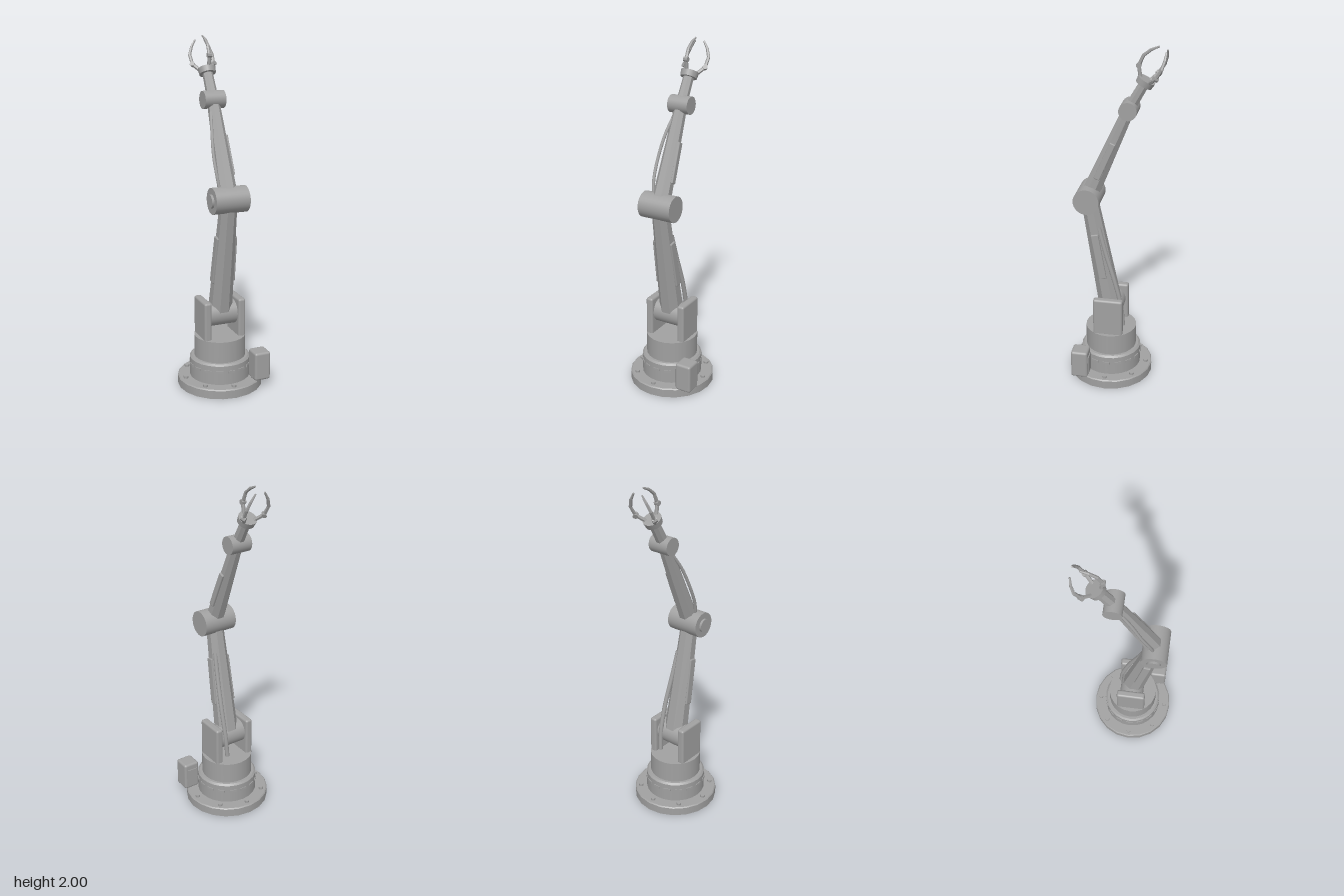
import * as THREE from 'three';
import { RoundedBoxGeometry } from 'three/addons/geometries/RoundedBoxGeometry.js';

export function createModel() {
  const root = new THREE.Group();
  const grey = new THREE.MeshStandardMaterial({ color: 0xa0a0a0 });
  grey.name = 'grey metal';
  const facetGrey = grey.clone();
  facetGrey.flatShading = true;

  const add = (parent, name, geo, x = 0, y = 0, z = 0, mat = grey) => {
    const m = new THREE.Mesh(geo, mat);
    m.name = name;
    m.position.set(x, y, z);
    parent.add(m);
    return m;
  };

  // Horizontal joint drum along x
  const drum = (name, r, x0, x1, y, z, sides = 32) => {
    const m = add(root, name, new THREE.CylinderGeometry(r, r, x1 - x0, sides), (x0 + x1) / 2, y, z);
    m.rotation.z = Math.PI / 2;
    return m;
  };

  // Local frame whose y axis runs from a to b, both given as [y, z] on x = 0
  const frame = (name, a, b) => {
    const g = new THREE.Group();
    g.name = name;
    g.position.set(0, a[0], a[1]);
    g.rotation.x = Math.atan2(b[1] - a[1], b[0] - a[0]);
    g.userData.len = Math.hypot(b[0] - a[0], b[1] - a[1]);
    root.add(g);
    return g;
  };

  // Tapered octagonal beam; r0 and r1 are half widths across flats
  const beam = (parent, name, r0, r1) => {
    const k = Math.cos(Math.PI / 8), len = parent.userData.len;
    const geo = new THREE.CylinderGeometry(r1 / k, r0 / k, len, 8).rotateY(Math.PI / 8);
    return add(parent, name, geo, 0, len / 2, 0, facetGrey);
  };

  const hose = (name, pts, r) => add(root, name, new THREE.TubeGeometry(
    new THREE.CatmullRomCurve3(pts.map(p => new THREE.Vector3(...p))), 24, r, 8), 0, 0, 0);

  // Stepped round base
  const base = new THREE.Group();
  base.name = 'base';
  base.position.z = 0.03;
  root.add(base);
  add(base, 'baseDisc', new THREE.CylinderGeometry(0.248, 0.248, 0.048, 20), 0, 0.024, 0);
  add(base, 'baseDiscBevel', new THREE.CylinderGeometry(0.242, 0.248, 0.006, 20), 0, 0.051, 0);
  add(base, 'lowerDrum', new THREE.CylinderGeometry(0.176, 0.176, 0.112, 24), 0, 0.11, 0);
  add(base, 'lowerDrumBevel', new THREE.CylinderGeometry(0.165, 0.176, 0.01, 24), 0, 0.171, 0);
  add(base, 'turntable', new THREE.CylinderGeometry(0.15, 0.15, 0.13, 24), 0, 0.237, 0);
  for (let i = 0; i < 8; i++) {
    const a = i * Math.PI / 4;
    add(base, 'bolt', new THREE.CylinderGeometry(0.014, 0.014, 0.014, 6),
      0.213 * Math.sin(a), 0.06, 0.213 * Math.cos(a), facetGrey);
  }
  for (let i = 0; i < 16; i++) {
    const a = i * Math.PI / 8;
    const tab = add(base, 'drumTab', new THREE.BoxGeometry(0.042, 0.014, 0.008),
      0.175 * Math.sin(a), 0.13, 0.175 * Math.cos(a));
    tab.rotation.y = a;
  }

  // Motor box on the base edge
  add(root, 'motorBox', new RoundedBoxGeometry(0.098, 0.17, 0.1, 2, 0.014), 0.188, 0.138, 0.18);
  add(root, 'motorBoxBack', new THREE.BoxGeometry(0.066, 0.11, 0.02), 0.188, 0.13, 0.135);

  // Shoulder brackets and drum
  for (const s of [-1, 1]) {
    add(root, 'shoulderBracket', new RoundedBoxGeometry(0.044, 0.235, 0.174, 2, 0.013), s * 0.105, 0.408, 0.03);
  }
  drum('shoulderDrum', 0.072, -0.09, 0.09, 0.432, 0.03);

  // Lower arm with side panels
  const shoulder = [0.43, 0.03], elbow = [1.13, 0.157], wrist = [1.655, -0.07], palm = [1.81, -0.157];
  const lower = frame('lowerArm', shoulder, elbow);
  beam(lower, 'lowerArmBeam', 0.065, 0.045);
  for (const s of [-1, 1]) {
    const p = add(lower, 'lowerArmPanel', new RoundedBoxGeometry(0.02, 0.28, 0.045, 1, 0.005), s * 0.056, 0.35, 0);
    p.rotation.z = s * 0.028;
  }
  hose('lowerHose', [[0.05, 0.33, -0.05], [0.055, 0.45, -0.04], [0.055, 0.62, 0.0],
    [0.045, 0.8, 0.055], [0.035, 0.95, 0.095]], 0.013);

  // Elbow drum with its end cap
  drum('elbowDrum', 0.074, -0.1, 0.1, 1.13, 0.155);
  drum('elbowCap', 0.039, -0.113, -0.1, 1.13, 0.155, 20);

  // Upper arm with side panel and hose
  const upper = frame('upperArm', elbow, wrist);
  beam(upper, 'upperArmBeam', 0.05, 0.032);
  const panel = add(upper, 'upperArmPanel', new RoundedBoxGeometry(0.018, 0.23, 0.035, 1, 0.005), 0.044, 0.25, 0);
  panel.rotation.z = 0.032;
  hose('upperHose', [[-0.028, 1.59, -0.03], [-0.046, 1.5, 0.025], [-0.06, 1.37, 0.083],
    [-0.058, 1.26, 0.128], [-0.045, 1.16, 0.15]], 0.009);

  // Wrist drum, hand stem and palm disc
  drum('wristDrum', 0.05, -0.062, 0.062, 1.655, -0.071);
  const hand = frame('hand', wrist, palm);
  const reach = hand.userData.len;
  beam(hand, 'handStem', 0.03, 0.027);
  add(hand, 'palmDisc', new THREE.CylinderGeometry(0.051, 0.047, 0.034, 20), 0, reach - 0.005, 0);

  // Three curved fingers, each point given as [radius, height, thickness]
  const joints = [[0.032, 0.0, 0.011], [0.074, 0.055, 0.01], [0.079, 0.115, 0.009], [0.06, 0.16, 0.008], [0.033, 0.195, 0.005]];
  for (let i = 0; i < 3; i++) {
    const finger = new THREE.Group();
    finger.name = 'finger';
    finger.position.y = reach;
    finger.rotation.y = i * Math.PI * 2 / 3;
    hand.add(finger);
    for (let j = 0; j < joints.length - 1; j++) {
      const [r0, h0, t0] = joints[j], [r1, h1, t1] = joints[j + 1];
      const len = Math.hypot(r1 - r0, h1 - h0);
      const seg = add(finger, 'fingerSegment', new THREE.CylinderGeometry(t1, t0, len + 0.004, 6),
        0, (h0 + h1) / 2, (r0 + r1) / 2, facetGrey);
      seg.rotation.x = Math.atan2(r1 - r0, h1 - h0);
    }
    const knuckle = add(finger, 'fingerKnuckle', new THREE.CylinderGeometry(0.014, 0.014, 0.026, 8),
      0, joints[1][1], joints[1][0], facetGrey);
    knuckle.rotation.z = Math.PI / 2;
  }
  return root;
}
